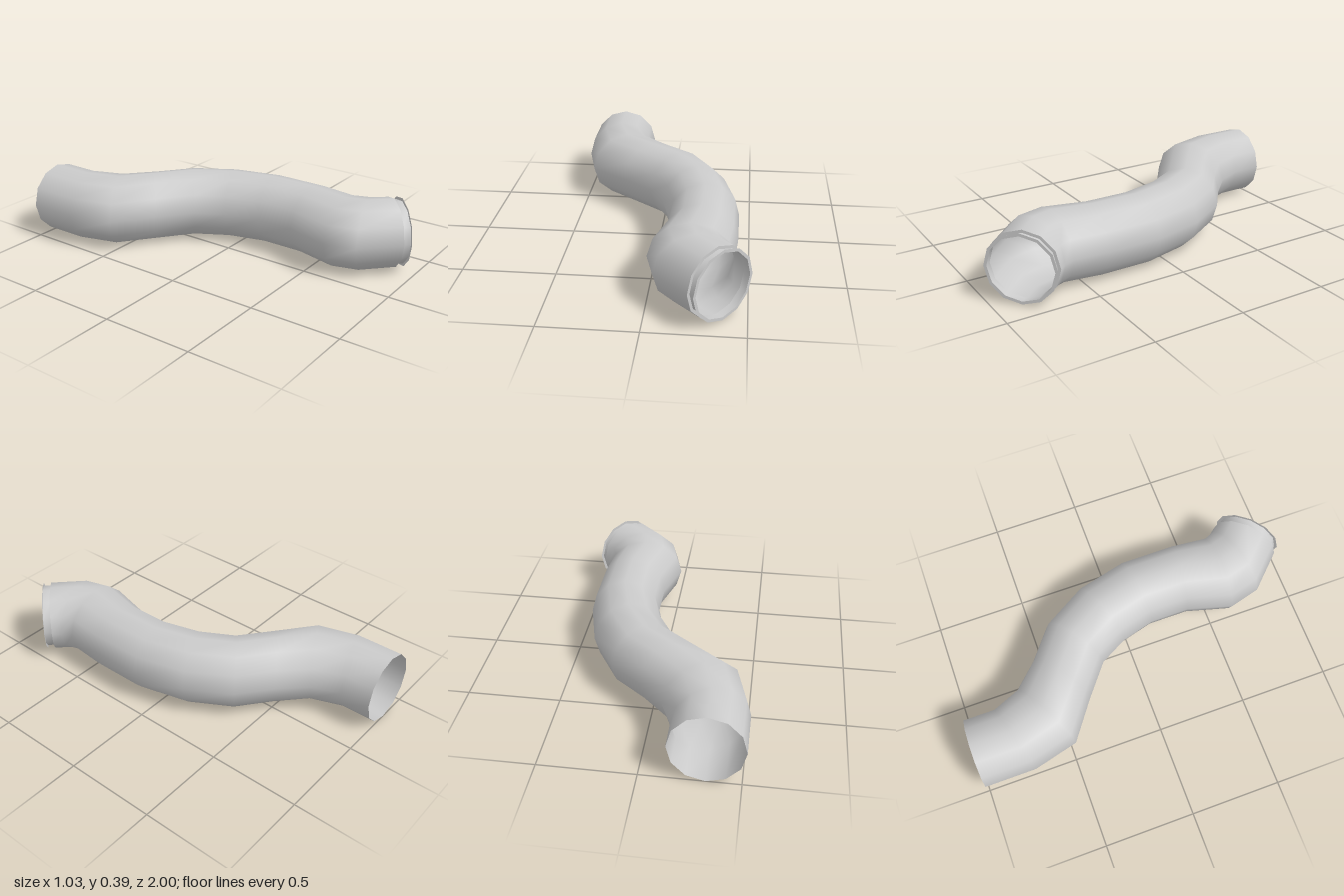
import * as THREE from 'three';

const SIDES = 12;
const MID_Y = 0.195;
const material = new THREE.MeshStandardMaterial({ color: 0xcccccc, side: THREE.DoubleSide });

// Skin a row of elliptical sections; each is [leftX, leftZ, rightX, rightZ, halfHeight]
function loft(name, sections) {
  const positions = [];
  const index = [];
  for (const [lx, lz, rx, rz, h] of sections) {
    for (let j = 0; j < SIDES; j++) {
      const a = (j / SIDES) * Math.PI * 2;
      const t = (1 + Math.cos(a)) / 2;
      positions.push(lx + (rx - lx) * t, MID_Y + h * Math.sin(a), lz + (rz - lz) * t);
    }
  }
  for (let i = 0; i < sections.length - 1; i++) {
    for (let j = 0; j < SIDES; j++) {
      const k = (j + 1) % SIDES;
      const a = i * SIDES + j, b = i * SIDES + k;
      const c = a + SIDES, d = b + SIDES;
      index.push(a, b, c, b, d, c);
    }
  }
  const geometry = new THREE.BufferGeometry();
  geometry.setAttribute('position', new THREE.Float32BufferAttribute(positions, 3));
  geometry.setIndex(index);
  geometry.computeVertexNormals();
  const mesh = new THREE.Mesh(geometry, material);
  mesh.name = name;
  return mesh;
}

// Round section square to the 45 degree mouth, centred at (x, z)
function mouthSection(x, z, r) {
  const d = r * Math.SQRT1_2;
  return [x - d, z + d, x + d, z - d, r];
}

export function createModel() {
  const group = new THREE.Group();
  group.name = 'bentPipe';

  // Mitred joints of the winding body, back to front
  const R = 0.194;
  const joints = [
    [-0.517, -1.0, -0.135, -1.0],
    [-0.517, -0.72, -0.135, -0.835],
    [-0.455, -0.475, -0.07, -0.685],
    [-0.25, -0.325, 0.06, -0.55],
    [-0.075, -0.185, 0.23, -0.415],
    [0.01, -0.03, 0.37, -0.18],
    [0.06, 0.155, 0.44, 0.1],
    [0.06, 0.37, 0.44, 0.41],
    [-0.01, 0.615, 0.425, 0.6],
    [0.035, 0.785, 0.45, 0.66],
  ].map((s) => [...s, R]);
  const end = mouthSection(0.35, 0.835, 0.19);
  group.add(loft('pipeBody', [...joints, end]));

  // Stepped mouth: shoulder, narrow neck and thin flange
  const neckBack = mouthSection(0.35, 0.835, 0.174);
  const neckFront = mouthSection(0.38, 0.865, 0.174);
  const rim = mouthSection(0.38, 0.865, 0.19);
  group.add(loft('mouthShoulder', [end, neckBack]));
  group.add(loft('mouthNeck', [neckBack, neckFront]));
  group.add(loft('mouthFlange', [rim, neckFront]));
  return group;
}
